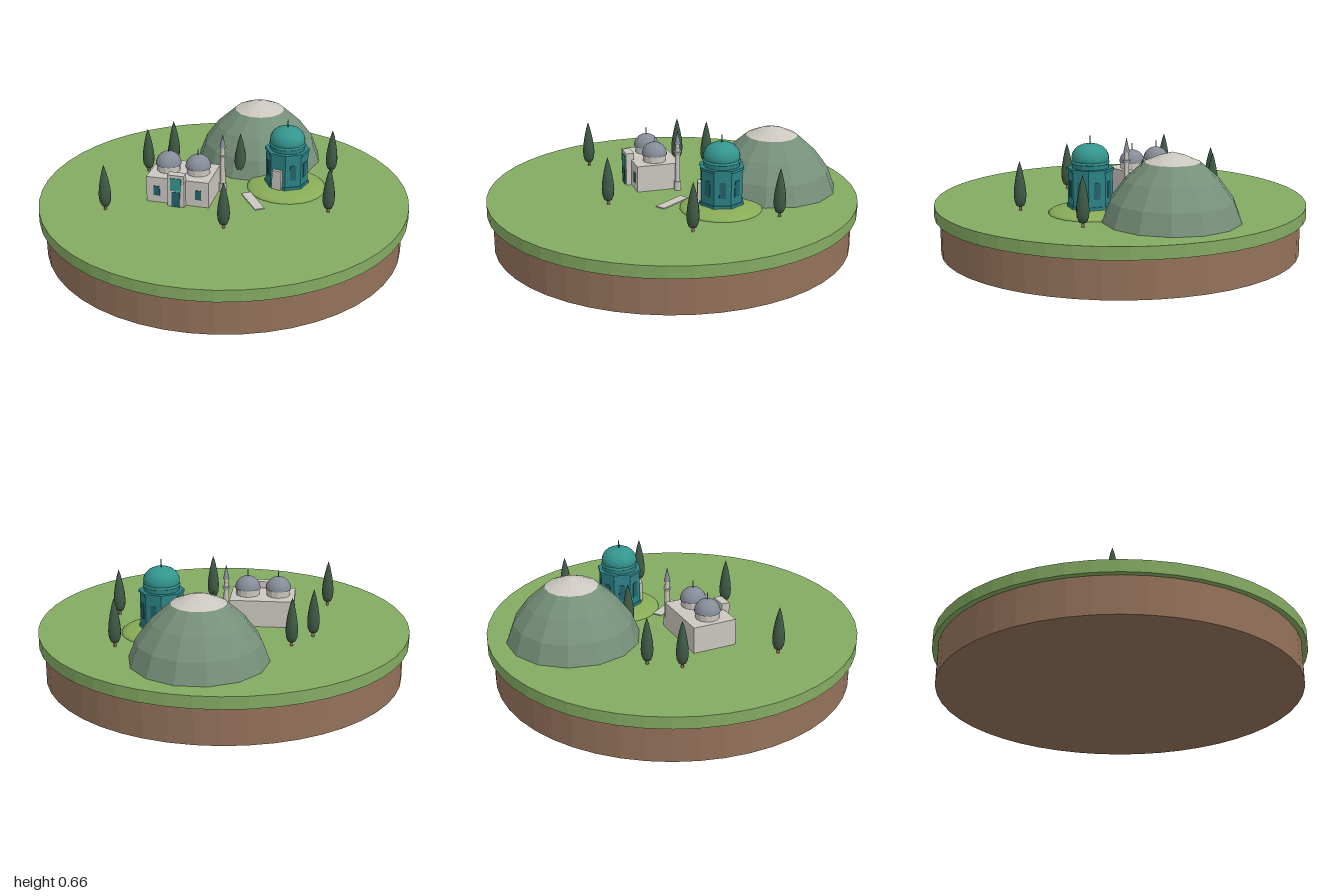
import * as THREE from 'three';

const mat = (name, color) => {
  const m = new THREE.MeshStandardMaterial({ color });
  m.name = name;
  return m;
};

export function createModel() {
  const M = {
    grass: mat('grass green', 0x84ab62),
    mound: mat('mound green', 0x88ac58),
    earth: mat('earth brown', 0x94725a),
    rock: mat('hill green', 0x76907a),
    stone: mat('pale stone', 0xcbc7c0),
    dome: mat('turquoise dome', 0x34958e),
    tile: mat('turquoise tile', 0x2b8286),
    dark: mat('dark teal', 0x22636a),
    grey: mat('lead grey', 0x868c98),
    tree: mat('cypress green', 0x3f5a46),
  };
  const root = new THREE.Group();
  const GROUND = 0.265;

  // helpers
  const flat = (g) => {
    const f = g.index ? g.toNonIndexed() : g;
    f.computeVertexNormals();
    return f;
  };
  const add = (parent, name, geo, material, x = 0, y = 0, z = 0) => {
    const m = new THREE.Mesh(geo, material);
    m.name = name;
    m.position.set(x, y, z);
    parent.add(m);
    return m;
  };
  const group = (name, x, z, degrees = 0) => {
    const g = new THREE.Group();
    g.name = name;
    g.position.set(x, GROUND, z);
    g.rotation.y = THREE.MathUtils.degToRad(degrees);
    root.add(g);
    return g;
  };
  const box = (p, name, m, w, h, d, x, y, z) =>
    add(p, name, new THREE.BoxGeometry(w, h, d), m, x, y + h / 2, z);
  const cyl = (p, name, m, r0, r1, h, x, y, z, n = 16) =>
    add(p, name, new THREE.CylinderGeometry(r1, r0, h, n), m, x, y + h / 2, z);
  const lathe = (pts, n, start = 0) =>
    new THREE.LatheGeometry(pts.map(([x, y]) => new THREE.Vector2(x, y)), n, start);
  const halfSphere = (r) => new THREE.SphereGeometry(r, 24, 10, 0, Math.PI * 2, 0, Math.PI / 2);

  // round base
  add(root, 'earthBase', flat(new THREE.CylinderGeometry(0.97, 0.97, 0.2, 48)), M.earth, 0, 0.1, 0);
  add(root, 'grassDisc', flat(new THREE.CylinderGeometry(1, 1, 0.065, 48)), M.grass, 0, 0.2325, 0);

  // faceted hill with a pale cap
  const hill = group('hill', 0.25, -0.49);
  const turn = THREE.MathUtils.degToRad(19.2);
  add(hill, 'hillSlope', flat(lathe([[0.355, 0], [0.315, 0.105], [0.24, 0.205], [0.14, 0.295]], 14, turn)), M.rock);
  add(hill, 'hillCap', flat(lathe([[0.14, 0.295], [0.07, 0.325], [0, 0.345]], 14, turn)), M.stone);

  // low mound under the rotunda
  const mound = add(root, 'mound', halfSphere(0.217), M.mound, 0.352, GROUND, -0.06);
  mound.scale.y = 0.18;

  // octagonal rotunda
  const rotunda = group('rotunda', 0.352, -0.06, -35);
  const octagon = (name, m, r, h, y) => {
    const g = new THREE.CylinderGeometry(r, r, h, 8, 1, false, Math.PI / 8);
    add(rotunda, name, flat(g), m, 0, y + h / 2, 0);
  };
  octagon('rotundaPlinth', M.tile, 0.122, 0.02, 0.028);
  octagon('rotundaWalls', M.tile, 0.115, 0.195, 0.03);
  octagon('rotundaCornice', M.tile, 0.121, 0.014, 0.222);
  const apothem = 0.115 * Math.cos(Math.PI / 8);
  for (let i = 1; i < 8; i++) {
    const side = new THREE.Group();
    side.name = 'rotundaSide';
    side.rotation.y = (i * Math.PI) / 4;
    rotunda.add(side);
    box(side, 'rotundaWindow', M.dark, 0.034, 0.085, 0.006, 0, 0.088, apothem);
  }
  box(rotunda, 'rotundaPortal', M.stone, 0.055, 0.11, 0.024, 0, 0.035, apothem + 0.006);
  cyl(rotunda, 'rotundaDrum', M.tile, 0.094, 0.094, 0.035, 0, 0.232, 0, 24);
  const ring = add(rotunda, 'domeRing', new THREE.TorusGeometry(0.092, 0.007, 8, 24), M.dome, 0, 0.264, 0);
  ring.rotation.x = Math.PI / 2;
  add(rotunda, 'rotundaDome', lathe([[0.089, 0.262], [0.095, 0.275], [0.096, 0.29], [0.092, 0.308],
    [0.082, 0.326], [0.065, 0.342], [0.042, 0.353], [0.02, 0.357], [0, 0.358]], 24), M.dome);
  cyl(rotunda, 'rotundaFinial', M.dark, 0.004, 0.002, 0.045, 0, 0.354, 0, 8);

  // twin-domed hall with portal
  const hall = group('hall', -0.217, -0.01, -19.5);
  box(hall, 'hallWalls', M.stone, 0.345, 0.145, 0.242, 0, 0, 0);
  box(hall, 'hallPortal', M.stone, 0.092, 0.182, 0.045, 0, 0, 0.128);
  box(hall, 'portalPanel', M.dome, 0.06, 0.072, 0.006, 0, 0.093, 0.151);
  box(hall, 'hallDoor', M.dark, 0.046, 0.086, 0.006, 0, 0, 0.151);
  for (const s of [-1, 1]) {
    box(hall, 'hallWindow', M.dark, 0.034, 0.055, 0.006, s * 0.115, 0.04, 0.121);
    const x = s * 0.083;
    add(hall, 'hallDrum', flat(new THREE.CylinderGeometry(0.064, 0.064, 0.04, 12)), M.stone, x, 0.163, 0);
    add(hall, 'hallDome', halfSphere(0.069), M.grey, x, 0.18, 0).scale.y = 0.98;
    cyl(hall, 'hallFinial', M.grey, 0.003, 0.002, 0.04, x, 0.244, 0, 8);
  }

  // minaret
  const minaret = group('minaret', -0.003, -0.04);
  cyl(minaret, 'minaretFoot', M.stone, 0.02, 0.02, 0.05, 0, 0, 0);
  cyl(minaret, 'minaretShaft', M.stone, 0.015, 0.013, 0.2, 0, 0.04, 0);
  cyl(minaret, 'minaretBalcony', M.stone, 0.014, 0.022, 0.018, 0, 0.2, 0);
  cyl(minaret, 'minaretLantern', M.stone, 0.012, 0.012, 0.05, 0, 0.215, 0);
  cyl(minaret, 'minaretSpire', M.grey, 0.017, 0.001, 0.075, 0, 0.26, 0);

  // stone path
  const path = group('path', 0.147, 0.105, 15);
  box(path, 'pathSlab', M.stone, 0.054, 0.006, 0.205, 0, 0, 0);

  // cypress trees
  const crown = lathe([[0, 0.018], [0.02, 0.026], [0.03, 0.05], [0.033, 0.085], [0.03, 0.125],
    [0.022, 0.175], [0.011, 0.225], [0, 0.26]], 12);
  for (const [x, z] of [[-0.64, 0.13], [-0.4, -0.33], [-0.25, -0.43], [0.112, -0.22],
    [0.63, -0.22], [0.53, 0.26], [-0.035, 0.39]]) {
    const tree = group('cypress', x, z);
    cyl(tree, 'trunk', M.earth, 0.008, 0.007, 0.035, 0, 0, 0, 8);
    add(tree, 'crown', crown, M.tree);
  }
  return root;
}
